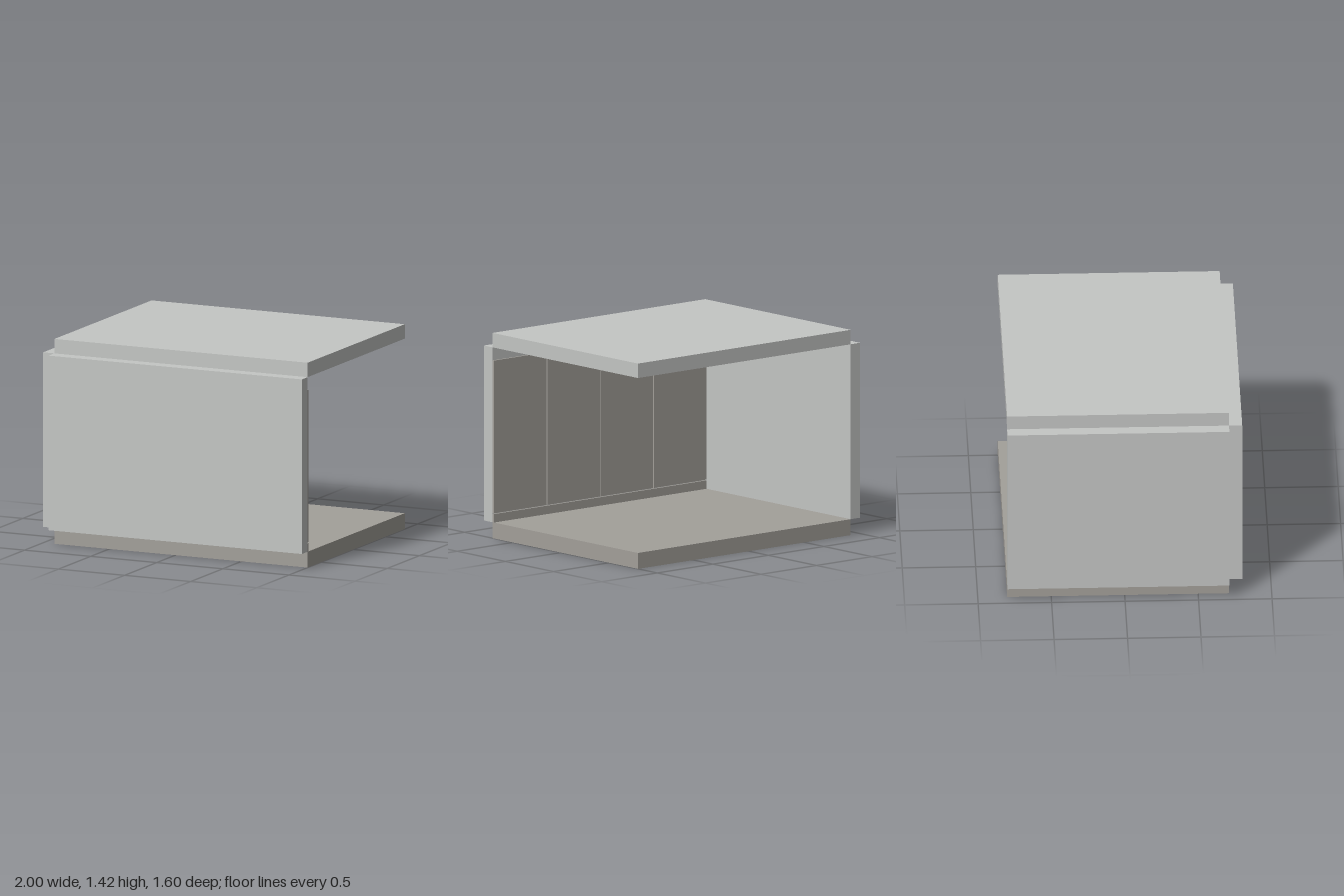
import * as THREE from 'three';

export function createModel() {
  const group = new THREE.Group();
  const paleGrey = new THREE.MeshStandardMaterial({ color: 0xc4c6c4 });
  paleGrey.name = 'pale grey panel';
  const warmGrey = new THREE.MeshStandardMaterial({ color: 0xa3a09a });
  warmGrey.name = 'warm grey floor and lining';

  // Box given by its minimum and maximum on each axis
  const slab = (name, material, [x0, x1], [y0, y1], [z0, z1]) => {
    const mesh = new THREE.Mesh(new THREE.BoxGeometry(x1 - x0, y1 - y0, z1 - z0), material);
    mesh.position.set((x0 + x1) / 2, (y0 + y1) / 2, (z0 + z1) / 2);
    mesh.name = name;
    group.add(mesh);
  };

  const roomX = [-0.915, 1], roomZ = [-0.8, 0.71], wallY = [0.11, 1.32];

  // Floor and roof slabs
  slab('floor', warmGrey, roomX, [0, 0.11], roomZ);
  slab('roof', paleGrey, roomX, [1.32, 1.42], roomZ);

  // Two outer walls; the other two sides stay open
  slab('frontWall', paleGrey, roomX, wallY, [0.71, 0.8]);
  slab('sideWall', paleGrey, [-1, -0.915], wallY, roomZ);

  // Skirting and four lining boards inside the front wall, with narrow joints
  const liningZ = [0.696, 0.71], joint = 0.008;
  slab('skirting', warmGrey, roomX, [0.11, 0.168], liningZ);
  const pitch = (roomX[1] - roomX[0]) / 4;
  for (let i = 0; i < 4; i++) {
    const left = roomX[0] + i * pitch + (i > 0 ? joint / 2 : 0);
    const right = roomX[0] + (i + 1) * pitch - (i < 3 ? joint / 2 : 0);
    slab('liningBoard' + (i + 1), warmGrey, [left, right], [0.174, 1.23], liningZ);
  }

  return group;
}
